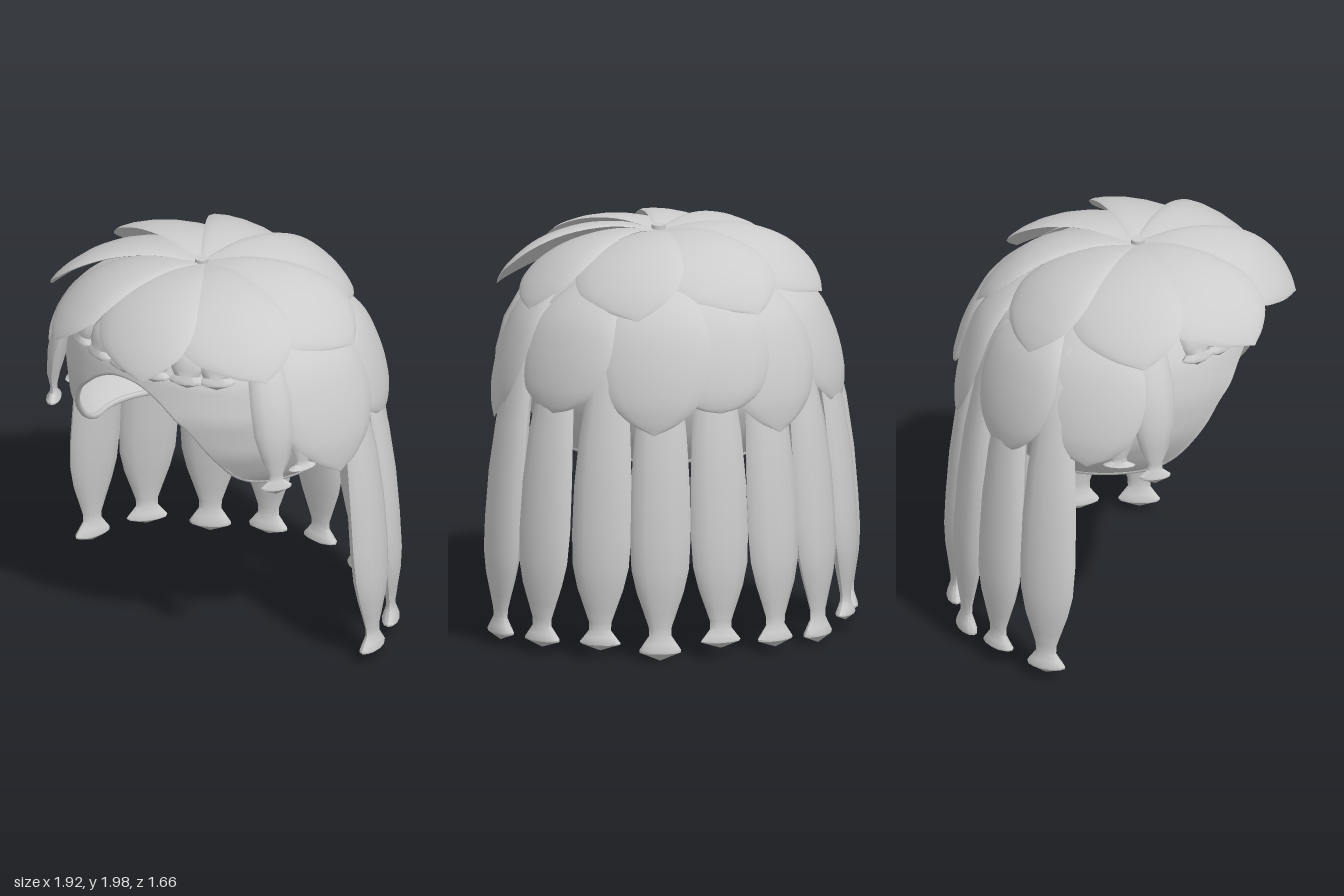
import * as THREE from 'three';
import { toCreasedNormals } from 'three/addons/utils/BufferGeometryUtils.js';

const rad = THREE.MathUtils.degToRad;
const hairGrey = new THREE.MeshStandardMaterial({ color: 0xcccccc, side: THREE.DoubleSide });

// Closed skin over rings of points; each ring has the same count.
function skin(rings, crease = 0.7) {
  const n = rings[0].length, pos = [], idx = [];
  rings.forEach(r => r.forEach(p => pos.push(p.x, p.y, p.z)));
  for (let i = 0; i < rings.length - 1; i++) {
    for (let j = 0; j < n; j++) {
      const a = i * n + j, b = i * n + (j + 1) % n;
      idx.push(a, b, a + n, b, b + n, a + n);
    }
  }
  const g = new THREE.BufferGeometry();
  g.setAttribute('position', new THREE.Float32BufferAttribute(pos, 3));
  g.setIndex(idx);
  return toCreasedNormals(g, crease);
}

// A flattened lock hanging over the head at one azimuth (0 = front, 90 = left).
// Stations are [radius, height, half width]; drop lowers the tip only.
function lock(stations, azimuth, o) {
  const { sx = 1, sz = 1, cz = 0, flat = 0.4, bend = 0.5, tilt = 0, twist = 0, smooth = 0, drop = 0, sides = 12 } = o;
  let pts = stations.map(s => new THREE.Vector3(...s));
  if (smooth) pts = new THREE.CatmullRomCurve3(pts).getPoints(smooth);
  const last = pts.length - 1;
  pts.forEach((p, i) => { p.y -= drop * (i / last) ** 2; });
  const rings = pts.map((p, i) => {
    const a = rad(azimuth + twist * (i / last - 0.5));
    const d = new THREE.Vector3(Math.sin(a) * sx, 0, Math.cos(a) * sz);
    const t = new THREE.Vector3(Math.cos(a) * sx, 0, -Math.sin(a) * sz).normalize();
    const q0 = pts[Math.max(0, i - 1)], q1 = pts[Math.min(last, i + 1)];
    const along = d.clone().multiplyScalar(q1.x - q0.x);
    along.y = q1.y - q0.y;
    const nrm = along.cross(t).normalize();
    const w = Math.max(0.002, p.z);
    const ring = [];
    for (let j = 0; j < sides; j++) {
      const th = j / sides * Math.PI * 2, s = w * Math.cos(th);
      const lift = w * flat * Math.sin(th) - bend * s * s + tilt * s;
      ring.push(d.clone().multiplyScalar(p.x).addScaledVector(t, s).addScaledVector(nrm, lift)
        .add(new THREE.Vector3(0, p.y, cz)));
    }
    return ring;
  });
  return skin(rings);
}

// Scalp shell: height to radius factor, and lower edge by azimuth
const domeProfile = [[1.93, 0.05], [1.9, 0.38], [1.82, 0.65], [1.7, 0.85], [1.58, 0.95], [1.4, 1], [1.2, 0.97], [1.05, 0.87], [0.92, 0.72]];
const rimProfile = [[0, 1.55], [8, 1.54], [16, 1.49], [30, 1.34], [40, 1.18], [50, 1.05], [62, 1], [90, 0.975], [130, 0.94], [180, 0.93]];

function lookup(table, v) {
  for (let i = 0; i < table.length - 1; i++) {
    const [a, fa] = table[i], [b, fb] = table[i + 1];
    if ((v - a) * (v - b) <= 0) return fa + (fb - fa) * (v - a) / (b - a);
  }
  return table[table.length - 1][1];
}

function domePoint(azimuth, y, inset = 0) {
  const f = lookup(domeProfile, y), a = rad(azimuth);
  return new THREE.Vector3((0.74 - inset) * f * Math.sin(a), y, (0.69 - inset) * f * Math.cos(a));
}

function rimPoint(azimuth) {
  const folded = Math.abs(((azimuth + 180) % 360 + 360) % 360 - 180);
  return domePoint(azimuth, lookup(rimProfile, folded), 0.015);
}

function scalp() {
  const rings = [];
  for (let i = 0; i <= 24; i++) {
    const ring = [];
    for (let j = 0; j < 90; j++) {
      const low = rimPoint(j * 4).y;
      ring.push(domePoint(j * 4, 1.93 + (low - 1.93) * Math.pow(i / 24, 1.4)));
    }
    rings.push(ring);
  }
  return skin(rings, 1.2);
}

export function createModel() {
  const model = new THREE.Group();
  const add = (name, geometry, parent = model) => {
    const m = new THREE.Mesh(geometry, hairGrey);
    m.name = name;
    parent.add(m);
    return m;
  };
  const group = name => {
    const g = new THREE.Group();
    g.name = name;
    model.add(g);
    return g;
  };

  // Scalp with arched face opening and a rolled lower edge
  add('scalp', scalp());
  const edge = [];
  for (let a = 0; a < 360; a += 6) edge.push(rimPoint(a));
  add('scalpEdge', new THREE.TubeGeometry(new THREE.CatmullRomCurve3(edge, true), 120, 0.015, 6, true));

  // Eight pointed, overlapping petals swirling round the crown
  const crown = group('crownPetals');
  const crownShape = [[0.02, 1.95, 0.03], [0.2, 1.965, 0.14], [0.4, 1.935, 0.235], [0.56, 1.87, 0.275], [0.68, 1.785, 0.235], [0.76, 1.71, 0.12], [0.8, 1.665, 0]];
  for (let i = 0; i < 8; i++) {
    add('crownPetal', lock(crownShape, 10 + i * 45, { sz: 0.97, cz: 0.08, flat: 0.09, bend: 0.45, tilt: 0.17, twist: 16, smooth: 24, sides: 16 }), crown);
  }
  const hub = add('crownHub', new THREE.CylinderGeometry(0.034, 0.034, 0.04, 12));
  hub.position.set(0, 1.955, 0.09);

  // Larger petals over the sides and back: azimuth, tip height above the lowest
  const mantle = group('sidePetals');
  const mantleShape = [[0.3, 1.86, 0.06], [0.54, 1.78, 0.16], [0.71, 1.63, 0.25], [0.795, 1.45, 0.275], [0.845, 1.27, 0.22], [0.86, 1.16, 0.12], [0.865, 1.09, 0]];
  for (const [a, rise] of [[86, 0], [-86, 0.07], [122, 0.11], [-120, 0.04], [158, 0.03], [-158, 0], [180, 0.13]]) {
    add('sidePetal', lock(mantleShape, a, { sz: 0.92, flat: 0.1, bend: 0.55, tilt: 0.1, smooth: 24, drop: -rise, sides: 16 }), mantle);
  }

  // Nine long locks with pinched, flared ends: azimuth, tip drop
  const back = group('longLocks');
  const longShape = [[0.66, 1.68, 0.06], [0.75, 1.52, 0.082], [0.8, 1.35, 0.1], [0.845, 1.1, 0.128], [0.875, 0.85, 0.144], [0.893, 0.62, 0.148],
    [0.905, 0.46, 0.14], [0.91, 0.35, 0.115], [0.91, 0.25, 0.08], [0.91, 0.18, 0.056], [0.91, 0.14, 0.055], [0.91, 0.105, 0.08], [0.91, 0.075, 0.102], [0.91, 0.065, 0.1], [0.91, 0.03, 0]];
  for (const [a, drop] of [[180, -0.025], [161, 0.025], [-161, 0], [142, -0.02], [-142, 0.025], [121, -0.01], [-121, -0.025], [100, 0], [-100, 0]]) {
    add('longLock', lock(longShape, a, { sx: 1.005, sz: 0.87, flat: 0.42, bend: 0.3, drop }), back);
  }

  // Short fringe above the face opening
  const fringe = group('fringe');
  const fringeShape = [[0.45, 1.86, 0.04], [0.6, 1.78, 0.075], [0.67, 1.72, 0.085], [0.69, 1.67, 0.078], [0.695, 1.64, 0.065], [0.7, 1.618, 0.088], [0.7, 1.608, 0.088], [0.7, 1.575, 0]];
  for (const a of [0, 14, -14, 28, -28, 40, -40]) {
    add('fringeLock', lock(fringeShape, a, { sx: 1.02, sz: 0.95, flat: 0.45, bend: 0.3 }), fringe);
  }

  // Slim locks framing the face, mirrored; the rear one tucks under the side petal
  const frame = group('faceLocks');
  const frameShape = [[0.48, 1.83, 0.05], [0.66, 1.68, 0.09], [0.75, 1.5, 0.11], [0.79, 1.35, 0.105], [0.81, 1.22, 0.07], [0.81, 1.14, 0.035], [0.81, 1.11, 0.038], [0.81, 1.078, 0.078], [0.81, 1.068, 0.078], [0.81, 1.035, 0]];
  for (const side of [1, -1]) {
    for (const [a, sx, drop] of [[62, 1, 0], [76, 0.93, -0.065]]) {
      add('faceLock', lock(frameShape, a * side, { sx, sz: 0.95, flat: 0.45, bend: 0.3, drop }), frame);
    }
  }
  return model;
}
